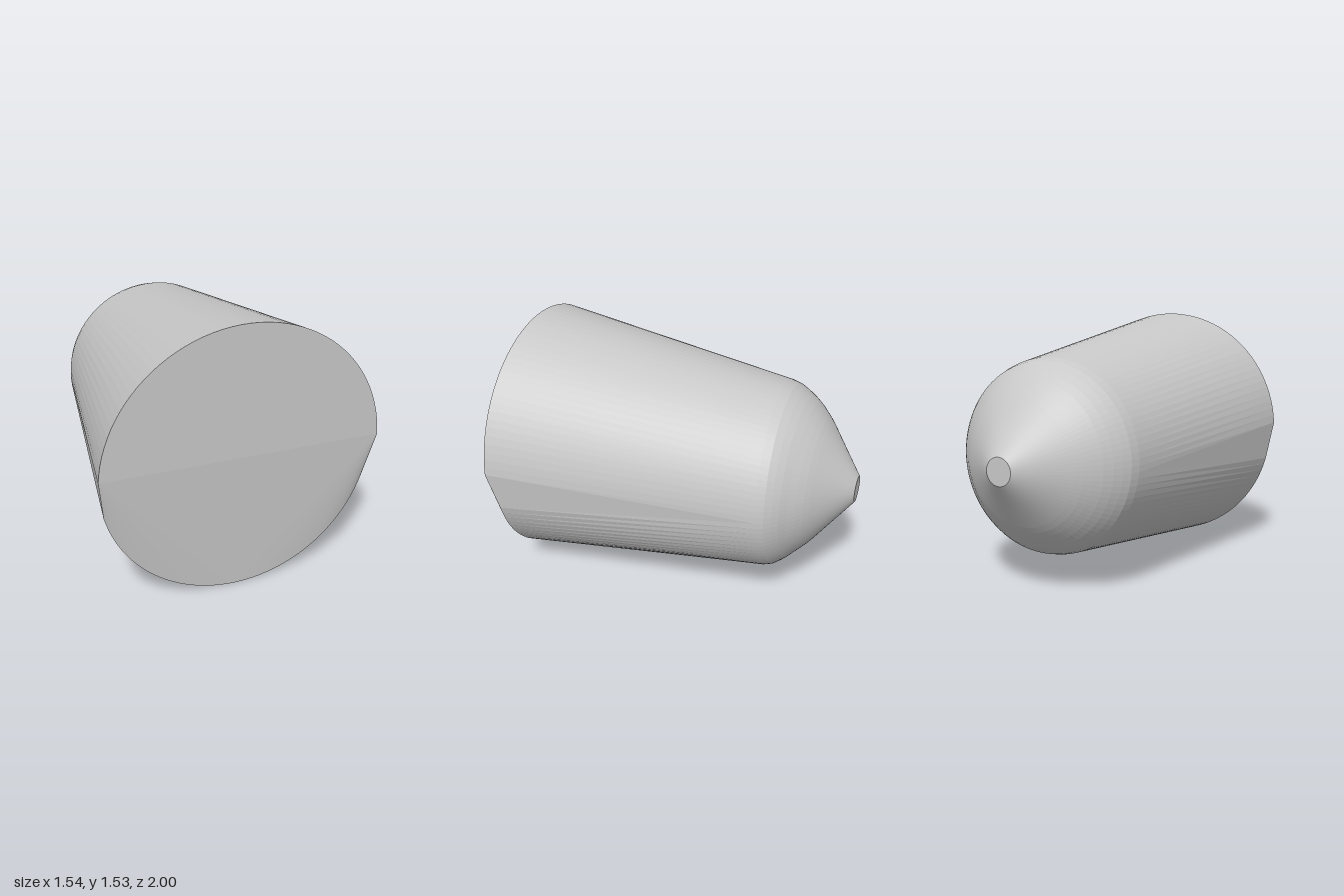
import * as THREE from 'three';

const N = 96; // points around each ring, counter-clockwise seen from the front
const H = N / 2;

// Front rim: upper arc at z = 1, lower arc set back behind the two hinge corners
function rimRing() {
  const pts = [];
  for (let i = 0; i < N; i++) {
    if (i <= H) {
      const a = 0.065 + (Math.PI - 0.13) * i / H;
      pts.push([0.773 * Math.cos(a), 0.76 + 0.77 * Math.sin(a), 1]);
    } else {
      const a = Math.PI + 0.25 + (Math.PI - 0.5) * (i - H - 1) / (H - 2);
      pts.push([0.763 * Math.cos(a), 0.763 + 0.763 * Math.sin(a), 0.95]);
    }
  }
  return pts;
}

// Circular ring, leaning by tiltX and tiltY
function ring(r, y, z, tiltX = 0, tiltY = 0) {
  return Array.from({ length: N }, (_, i) => {
    const a = 2 * Math.PI * i / N, c = Math.cos(a), s = Math.sin(a);
    return [r * c, y + r * s, z + tiltX * c + tiltY * s];
  });
}

function meshOf(name, triangles, material) {
  const g = new THREE.BufferGeometry();
  g.setAttribute('position', new THREE.Float32BufferAttribute(triangles.flat(2), 3));
  g.computeVertexNormals();
  const mesh = new THREE.Mesh(g, material);
  mesh.name = name;
  return mesh;
}

// Wall through a series of rings running from front to back
function loft(rings) {
  const tris = [];
  for (let k = 0; k < rings.length - 1; k++) {
    const A = rings[k], B = rings[k + 1];
    for (let i = 0; i < N; i++) {
      const j = (i + 1) % N;
      tris.push([A[i], B[i], B[j]], [A[i], B[j], A[j]]);
    }
  }
  return tris;
}

// Fan from one rim point across a run of the ring
function fan(pts, hub, from, to) {
  const tris = [];
  for (let i = from; i < to; i++) {
    if (i % N !== hub && (i + 1) % N !== hub) tris.push([pts[hub], pts[i % N], pts[(i + 1) % N]]);
  }
  return tris;
}

export function createModel() {
  const group = new THREE.Group();
  group.name = 'taperedCapsule';
  const grey = new THREE.MeshStandardMaterial({ color: 0xc8c8c8 });
  grey.name = 'light grey';

  const rim = rimRing();
  const joint = ring(0.555, 0.738, -0.535, -0.025, 0.012);
  group.add(meshOf('taperedBody', loft([rim, joint]), grey));

  // Front: flat upper face, lower face folded back along the hinge line
  group.add(meshOf('upperFrontFace', fan(rim, 0, 0, H), grey));
  group.add(meshOf('lowerFrontFace', [
    [rim[0], rim[H], rim[H * 1.5]],
    ...fan(rim, H, H, H * 1.5),
    ...fan(rim, 0, H * 1.5, N),
  ], grey));

  // Rounded shoulder running into a straight blunt cone: [radius, z]
  const profile = [[0.54, -0.585], [0.515, -0.625], [0.485, -0.665], [0.45, -0.703],
    [0.41, -0.743], [0.375, -0.775], [0.34, -0.803], [0.21, -0.9], [0.077, -1]];
  const noseRings = [joint, ...profile.map(([r, z], k) => {
    const lean = Math.max(0, 1 - (k + 1) / 4);
    return ring(r, 0.738 - 0.008 * (-0.535 - z) / 0.465, z, -0.025 * lean, 0.012 * lean);
  })];
  group.add(meshOf('nose', loft(noseRings), grey));

  // Small flat end of the nose
  const tip = noseRings[noseRings.length - 1];
  group.add(meshOf('noseTip', fan(tip, 0, 0, N).map(([a, b, c]) => [a, c, b]), grey));
  return group;
}
